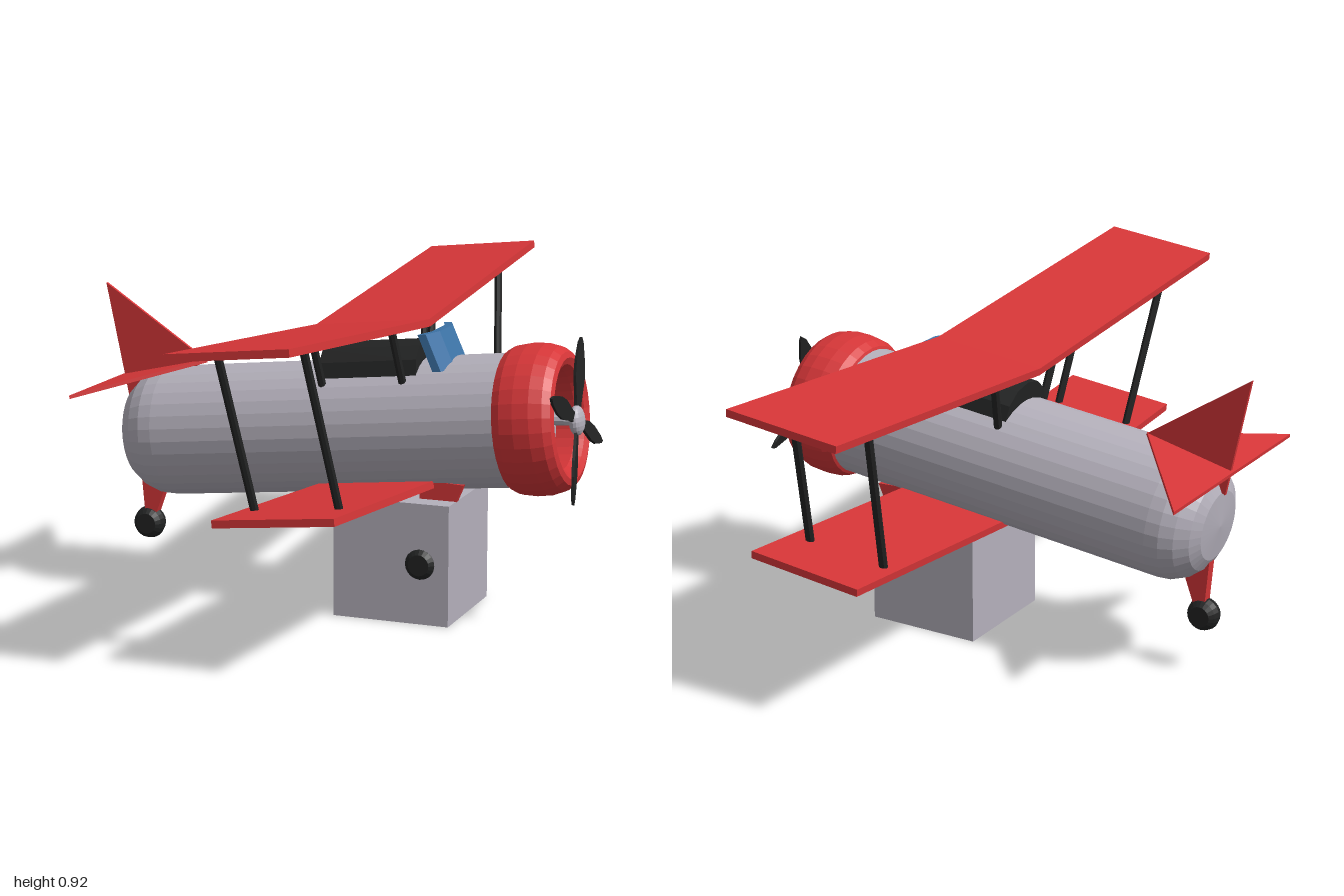
import * as THREE from 'three';

const paint = (name, color) => {
  const m = new THREE.MeshStandardMaterial({ color, flatShading: true, side: THREE.DoubleSide });
  m.name = name;
  return m;
};

export function createModel() {
  const red = paint('red', 0xd63638);
  const grey = paint('grey', 0xb4b0bb);
  const black = paint('black', 0x222323);
  const blue = paint('blue', 0x3d74a8);

  const model = new THREE.Group();
  model.name = 'biplane';
  // Airframe: nose along +x, pitched up on its gear
  const plane = new THREE.Group();
  plane.name = 'airframe';
  plane.position.y = 0.51;
  plane.rotation.z = 0.105;
  model.add(plane);

  const add = (parent, name, geo, mat, x = 0, y = 0, z = 0) => {
    const m = new THREE.Mesh(geo, mat);
    m.name = name;
    m.position.set(x, y, z);
    parent.add(m);
    return m;
  };
  const shapeOf = (pts) => new THREE.Shape(pts.map(([x, y]) => new THREE.Vector2(x, y)));
  // Flat plate in the x-y plane, centred on z = 0
  const plate = (pts, t) =>
    new THREE.ExtrudeGeometry(shapeOf(pts), { depth: t, bevelEnabled: false }).translate(0, 0, -t / 2);
  // Body of revolution about the x axis, points are [radius, x] from back to front
  const turned = (pts, n = 32) =>
    new THREE.LatheGeometry(pts.map(([r, u]) => new THREE.Vector2(r, u)), n).rotateZ(-Math.PI / 2);
  // Round bar between two points
  const bar = (name, a, b, r, mat) => {
    const p = new THREE.Vector3(...a), q = new THREE.Vector3(...b);
    const d = q.clone().sub(p);
    const m = add(plane, name, new THREE.CylinderGeometry(r, r, d.length(), 8), mat);
    m.position.copy(p).add(q).multiplyScalar(0.5);
    m.quaternion.setFromUnitVectors(new THREE.Vector3(0, 1, 0), d.normalize());
  };
  // Move each vertex in y by a rule
  const shiftY = (geo, rule) => {
    const p = geo.attributes.position;
    for (let i = 0; i < p.count; i++) p.setY(i, p.getY(i) + rule(p.getX(i), p.getZ(i)));
    geo.computeVertexNormals();
    return geo;
  };

  // Fuselage and engine cowling
  add(plane, 'fuselage', turned([
    [0, -0.648], [0.1, -0.64], [0.135, -0.622], [0.165, -0.588], [0.182, -0.55], [0.187, -0.51],
    [0.187, 0.6], [0, 0.6],
  ]), grey);
  add(plane, 'cowling', turned([
    [0.18, 0.515], [0.195, 0.522], [0.207, 0.545], [0.212, 0.585], [0.21, 0.63], [0.2, 0.665],
    [0.185, 0.685], [0.168, 0.69], [0.15, 0.68], [0.14, 0.655], [0.138, 0.59],
  ]), red);

  // Wings with dihedral
  const wing = (name, span, u, rootY) =>
    add(plane, name, shiftY(new THREE.BoxGeometry(0.34, 0.021, span, 1, 1, 2),
      (x, z) => Math.abs(z) * 0.087), red, u, rootY, 0);
  wing('upperWing', 2, 0.131, 0.282);
  wing('lowerWing', 1.69, 0.139, -0.164);

  // Wing struts
  for (const s of [1, -1]) {
    for (const u of [0.01, 0.249]) {
      bar('outerStrut', [u, 0.35, 0.79 * s], [u, -0.1, 0.66 * s], 0.012, black);
      bar('cabaneStrut', [u, 0.295, 0.167 * s], [u, 0.12, 0.115 * s], 0.012, black);
    }
  }

  // Cockpit coaming
  const cockpit = new THREE.CylinderGeometry(0.09, 0.09, 0.29, 12).rotateZ(Math.PI / 2).scale(1, 1, 1.2);
  add(plane, 'cockpit', cockpit, black, 0.14, 0.15, 0);

  // Windscreen: three panels raked back
  const screen = new THREE.BoxGeometry(0.024, 0.105, 0.22, 1, 1, 4);
  const sp = screen.attributes.position;
  for (let i = 0; i < sp.count; i++) {
    const z = Math.abs(sp.getZ(i));
    sp.setX(i, sp.getX(i) - sp.getY(i) * 0.32 - (z > 0.1 ? 0.022 : 0));
  }
  add(plane, 'windscreen', screen, blue, 0.352, 0.213, -0.003);

  // Tail surfaces
  add(plane, 'tailFin', plate([[-0.684, 0.442], [-0.65, 0.096], [-0.391, 0.2]], 0.01), red);
  const stabiliser = plate([[-0.666, -0.345], [-0.391, 0], [-0.666, 0.345]], 0.01).rotateX(Math.PI / 2);
  add(plane, 'stabiliser', shiftY(stabiliser, (x) => 0.2 + (x + 0.391) * 0.124), red);

  // Propeller
  const propeller = new THREE.Group();
  propeller.name = 'propeller';
  propeller.position.set(0.703, -0.006, 0);
  plane.add(propeller);
  const blade = plate([
    [-0.01, 0], [0.01, 0], [0.016, 0.06], [0.028, 0.12], [0.026, 0.165], [0.01, 0.225], [0, 0.238],
    [-0.012, 0.22], [-0.026, 0.165], [-0.028, 0.12], [-0.016, 0.06],
  ], 0.008).rotateY(Math.PI / 2 - 0.15);
  for (let i = 0; i < 4; i++) {
    add(propeller, 'blade', blade, black).rotation.x = -0.44 + i * Math.PI / 2;
  }
  add(propeller, 'spinner', new THREE.SphereGeometry(0.042, 16, 10).scale(0.5, 1, 1), grey);
  bar('propellerShaft', [0.59, 0, 0], [0.7, -0.006, 0], 0.015, grey);

  // Tyre with rounded shoulders, axle along z
  const tyre = new THREE.LatheGeometry([
    [0, -0.03], [0.03, -0.03], [0.043, -0.018], [0.048, 0], [0.043, 0.018], [0.03, 0.03], [0, 0.03],
  ].map(([r, h]) => new THREE.Vector2(r, h)), 20).rotateX(Math.PI / 2);

  // Tail wheel and its tapered leg
  add(model, 'tailWheel', tyre, black, -0.6, 0.172, 0);
  add(model, 'tailLeg', plate([[-0.622, 0.36], [-0.608, 0.2], [-0.574, 0.2], [-0.53, 0.32]], 0.03), red);

  // Main gear: block between the wheels, legs and wheels
  add(model, 'gearBlock', new THREE.BoxGeometry(0.34, 0.345, 0.344), grey, 0.219, 0.1725, -0.002);
  for (const s of [1, -1]) {
    add(model, 'gearLeg', plate([[0.28, 0.4], [0.29, 0.18], [0.32, 0.18], [0.41, 0.393]], 0.02),
      red, 0, 0, 0.1 * s);
    add(model, 'mainWheel', tyre, black, 0.305, 0.172, s > 0 ? 0.153 : -0.135);
  }
  return model;
}
